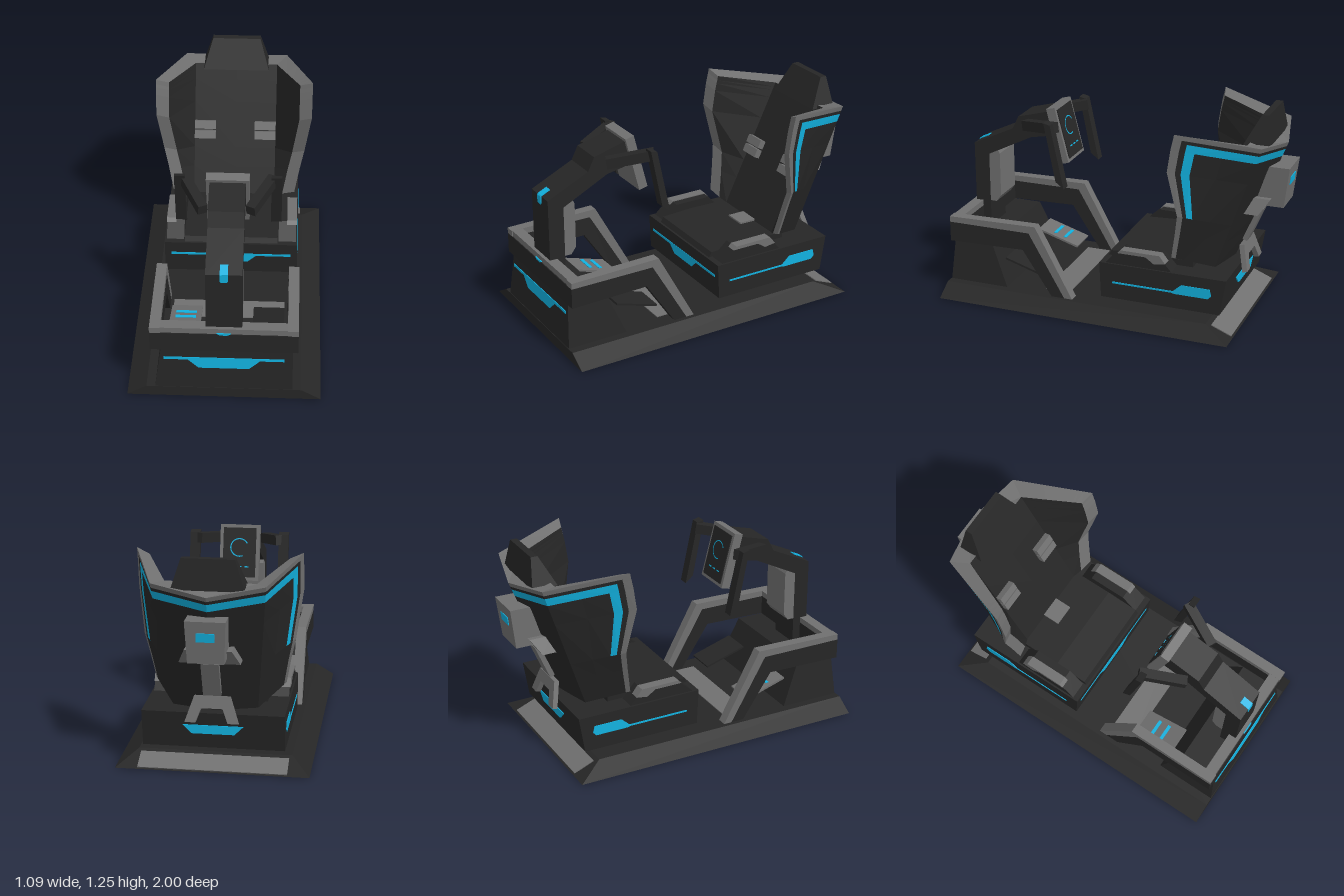
import * as THREE from 'three';

const mat = (name, color) => {
  const m = new THREE.MeshStandardMaterial({ color });
  m.name = name;
  return m;
};

export function createModel() {
  const dark = mat('charcoal', 0x262626);
  const gray = mat('trim gray', 0x707070);
  const cyan = mat('cyan glow', 0x12b2e0);
  const root = new THREE.Group();
  root.name = 'cockpitSeat';

  const add = (name, geo, m, parent = root) => {
    const mesh = new THREE.Mesh(geo, m);
    mesh.name = name;
    parent.add(mesh);
    return mesh;
  };
  const shape = pts => new THREE.Shape(pts.map(p => new THREE.Vector2(...p)));
  const extrude = (s, depth) => new THREE.ExtrudeGeometry(s, { depth, bevelEnabled: false });
  // Side profile of [z, y] points, spanning x0..x1
  const side = (pts, x0, x1) => extrude(shape(pts), x1 - x0).rotateY(-Math.PI / 2).translate(x1, 0, 0);
  // Front plate of [x, y] points with its back at z
  const plate = (pts, z, d = 0.008) => extrude(shape(pts), d).translate(0, 0, z);
  // Floor plate of [x, z] points with its underside at y
  const floor = (pts, y, d) => extrude(shape(pts.map(([x, z]) => [x, -z])), d).rotateX(-Math.PI / 2).translate(0, y, 0);
  const box = (x0, x1, y0, y1, z0, z1) =>
    new THREE.BoxGeometry(x1 - x0, y1 - y0, z1 - z0).translate((x0 + x1) / 2, (y0 + y1) / 2, (z0 + z1) / 2);
  // Box with separate bottom and top rectangles: [y, half width, back z, front z]
  const taper = (b, t) => {
    const g = new THREE.BoxGeometry(1, 1, 1), p = g.attributes.position;
    for (let i = 0; i < p.count; i++) {
      const r = p.getY(i) > 0 ? t : b;
      p.setXYZ(i, Math.sign(p.getX(i)) * r[1], r[0], p.getZ(i) > 0 ? r[3] : r[2]);
    }
    g.computeVertexNormals();
    return g;
  };
  const mirror = half => [...half, ...half.map(([x, y]) => [-x, y]).reverse()];
  const bar = (a, b, w, h) => {
    const A = new THREE.Vector3(...a), B = new THREE.Vector3(...b);
    const g = new THREE.BoxGeometry(w, h, A.distanceTo(B));
    const m = new THREE.Object3D();
    m.position.copy(A).lerp(B, 0.5);
    m.lookAt(B);
    m.updateMatrix();
    return g.applyMatrix4(m.matrix);
  };

  // Base platform, rear ramp trim and underside pads
  add('basePlate', taper([0.005, 0.545, -0.79, 1], [0.07, 0.435, -0.63, 1]), dark);
  add('rampTrim', box(-0.42, 0.42, -0.003, 0.003, -0.075, 0.055), gray).position.set(0, 0.04, -0.71);
  root.children.at(-1).rotation.x = -0.386;
  for (const s of [1, -1]) {
    const zs = d => 0.1 + s * d;
    add('undersidePad', floor(mirror([[0.18, zs(0.15)], [0.25, zs(0.32)], [0.35, zs(0.4)], [0.35, zs(0.74)], [0.3, zs(0.82)]]), 0.001, 0.006), gray);
    for (let i = 0; i < 4; i++)
      add('undersideVent', box(-0.12, 0.12, 0, 0.003, zs(0.5) - 0.08 + i * 0.045, zs(0.5) - 0.045 + i * 0.045), dark);
  }
  add('undersideBridge', floor(mirror([[0.17, 0.04], [0.2, 0.07], [0.2, 0.13], [0.17, 0.16]]), 0.001, 0.006), gray);
  add('footMat', box(-0.33, 0.33, 0.068, 0.075, 0.25, 0.4), gray);

  // Front console
  add('console', taper([0.07, 0.385, 0.63, 0.997], [0.33, 0.35, 0.74, 0.977]), dark);
  add('consoleGlow', plate(mirror([[0.14, -0.045], [0.2, 0.01], [0.335, 0.01], [0.335, 0.025], [0, 0.025]]), 0), cyan)
    .position.set(0, 0.255, 0.979);
  root.children.at(-1).rotation.x = -0.077;
  add('frontRail', box(-0.35, 0.35, 0.33, 0.45, 0.91, 0.98), dark);
  add('frontRailCap', box(-0.35, 0.35, 0.45, 0.485, 0.91, 0.975), gray);
  add('railGlow', plate([[-0.04, 0.457], [-0.02, 0.445], [0.02, 0.445], [0.04, 0.457]], 0.974), cyan);

  // Side rails with legs, and pedals
  for (const s of [1, -1]) {
    const [a, b] = s > 0 ? [0.35, 0.41] : [-0.41, -0.35];
    add('sideRail', side([[0.98, 0.33], [0.98, 0.45], [0.47, 0.45], [0.25, 0.07], [0.33, 0.07], [0.51, 0.34]], a, b), dark);
    add('sideRailCap', side([[0.98, 0.45], [0.98, 0.485], [0.43, 0.495], [0.2, 0.07], [0.25, 0.07], [0.47, 0.45]], a, b), gray);
    add('pedal', bar([s * 0.24, 0.23, 0.66], [s * 0.24, 0.15, 0.4], 0.18, 0.012), s > 0 ? dark : gray);
  }
  for (const t of [0.35, 0.6])
    add('pedalGlow', bar([-0.24, 0.238 - t * 0.08, 0.66 - t * 0.26], [-0.24, 0.237 - t * 0.08, 0.64 - t * 0.26], 0.12, 0.004), cyan);

  // Display column
  add('column', side([[0.955, 0.33], [0.955, 0.85], [0.7, 0.97], [0.66, 1.05], [0.44, 1.11], [0.42, 0.96],
    [0.58, 0.93], [0.8, 0.82], [0.86, 0.79], [0.86, 0.33]], -0.1, 0.1), dark);
  add('columnTrim', side([[0.86, 0.49], [0.86, 0.79], [0.8, 0.82], [0.79, 0.8], [0.79, 0.53], [0.82, 0.49]], -0.1, 0.1), gray);
  add('columnGlow', plate(mirror([[0.015, 0.8], [0.022, 0.81], [0.022, 0.85]]), 0.952), cyan);
  add('columnGlowTop', bar([0, 0.852, 0.956], [0, 0.878, 0.9], 0.044, 0.006), cyan);

  // Display facing the seat
  const display = new THREE.Group();
  display.name = 'display';
  display.position.set(0, 0.965, 0.4);
  display.rotation.x = 0.25;
  root.add(display);
  add('displayHousing', box(-0.12, 0.12, -0.17, 0.17, -0.025, 0.03), gray, display);
  add('displayScreen', box(-0.1, 0.1, -0.15, 0.15, -0.031, -0.024), dark, display);
  add('dialGlow', new THREE.RingGeometry(0.05, 0.057, 32, 1, 0.5, 4.6).rotateY(Math.PI).translate(0, 0.03, -0.033), cyan, display);
  for (let i = 0; i < 3; i++)
    add('readoutGlow', box(-0.06 + i * 0.045, -0.035 + i * 0.045, -0.09, -0.083, -0.034, -0.03), cyan, display);

  // Control arms and hanging grips
  for (const s of [1, -1]) {
    add('controlArm', bar([s * 0.13, 1.015, 0.6], [s * 0.25, 1.06, 0.36], 0.055, 0.06), dark);
    const x = s * 0.27;
    add('controlGrip', side([[0.41, 1.1], [0.37, 1.09], [0.29, 0.71], [0.34, 0.75], [0.38, 0.95]], x - 0.03, x + 0.03), dark);
  }

  // Seat base and cushion
  add('seatBase', taper([0.12, 0.4, -0.7, 0.02], [0.335, 0.4, -0.735, 0.03]), dark);
  add('cushion', side([[0.02, 0.33], [0, 0.365], [-0.2, 0.375], [-0.5, 0.37], [-0.5, 0.33]], -0.28, 0.28), dark);
  add('cushionPatch', box(-0.065, 0.065, 0.37, 0.382, -0.47, -0.34), gray);
  add('seatFrontGlow', plate(mirror([[0.1, 0.2], [0.15, 0.245], [0.36, 0.245], [0.36, 0.26], [0, 0.26]]), 0.021), cyan);
  add('seatRearGlow', plate(mirror([[0.12, 0.21], [0.17, 0.26], [0, 0.26]]), -0.728), cyan);
  for (const s of [1, -1]) {
    const span = (a, b) => (s > 0 ? [a, b] : [-b, -a]);
    add('armrest', side([[0, 0.33], [-0.1, 0.42], [-0.33, 0.42], [-0.41, 0.33]], ...span(0.285, 0.39)), dark);
    add('armrestPad', side([[-0.08, 0.405], [-0.1, 0.425], [-0.335, 0.425], [-0.37, 0.38], [-0.3, 0.37], [-0.25, 0.405]], ...span(0.335, 0.394)), gray);
    add('seatSideGlow', side([[-0.05, 0.215], [-0.41, 0.215], [-0.43, 0.21], [-0.63, 0.21], [-0.65, 0.23], [-0.64, 0.27],
      [-0.47, 0.27], [-0.42, 0.225], [-0.05, 0.225]].reverse(), ...span(0.398, 0.404)), cyan);
  }

  // Wraparound backrest shell lofted from half cross-sections
  const rows = [0, 0.21, 0.36, 0.71, 0.88, 0.94, 0.965, 1];
  const fx = [0.375, 0.405, 0.43, 0.467, 0.467, 0.467, 0.467, 0.467];
  const fz = [-0.4, -0.43, -0.45, -0.4, -0.42, -0.43, -0.435, -0.44];
  const us = [0, 0.1, 0.17, 0.28, 0.6, 1];
  const mix = (a, b, t) => a.map((v, i) => v + (b[i] - v) * t);
  const section = j => {
    const v = rows[j], y = 0.42 + 0.77 * v;
    const F = [fx[j], y, fz[j]], R = [0.24 + 0.07 * v, 0.34 + 0.77 * v, -0.62 - 0.27 * v];
    const lip = [fx[j] - 0.075, y - 0.03, fz[j] - 0.02];
    const pad = x => [x, 0.37 + 0.73 * v, -0.44 - 0.35 * v];
    const outer = [...us.map(u => mix(F, R, u)), [0, 0.33 + 0.73 * v, -0.67 - 0.29 * v]];
    const inner = [...us.map(u => mix(lip, pad(0.25), u)), pad(0)];
    return { outer, inner, ring: [pad(0), pad(0.25), lip, ...outer] };
  };
  const faces = new Map([[dark, []], [gray, []], [cyan, []]]);
  const quad = (m, a, b, c, d) => {
    const flip = p => [-p[0], p[1], p[2]];
    for (const p of [a, b, c, a, c, d]) faces.get(m).push(...p);
    for (const p of [a, c, b, a, d, c]) faces.get(m).push(...flip(p));
  };
  const sections = rows.map((_, j) => section(j));
  for (let j = 0; j < rows.length - 1; j++) {
    const lo = sections[j].ring, hi = sections[j + 1].ring;
    for (let i = 0; i < lo.length - 1; i++) {
      const rim = i === 2 || i === 3 || (i > 3 && j === 6);
      const glow = (i === 5 && j >= 2 && j <= 4) || (i >= 5 && j === 4);
      quad(rim ? gray : glow ? cyan : dark, lo[i], lo[i + 1], hi[i + 1], hi[i]);
    }
  }
  const bottom = sections[0], top = sections.at(-1);
  for (let k = 0; k < us.length; k++) {
    quad(gray, top.inner[k], top.outer[k], top.outer[k + 1], top.inner[k + 1]);
    quad(dark, bottom.inner[k + 1], bottom.outer[k + 1], bottom.outer[k], bottom.inner[k]);
  }
  for (const [m, list] of faces) {
    const g = new THREE.BufferGeometry();
    g.setAttribute('position', new THREE.Float32BufferAttribute(list, 3));
    g.computeVertexNormals();
    add(m === dark ? 'backrestShell' : m === gray ? 'backrestRim' : 'backrestGlow', g, m);
  }

  // Headrest and lumbar patches
  add('headrest', taper([1.08, 0.2, -0.9, -0.75], [1.25, 0.145, -0.88, -0.84]), dark);
  for (const s of [1, -1])
    for (const [y, z] of [[0.71, -0.59], [0.765, -0.615]]) {
      const patch = add('lumbarPatch', new THREE.BoxGeometry(0.13, 0.05, 0.05), gray);
      patch.position.set(s * 0.185, y, z);
      patch.rotation.x = -0.45;
    }

  // Rear pack, its skirt and the lower bracket
  add('rearPack', taper([0.7, 0.1, -0.97, -0.8], [0.94, 0.11, -1, -0.88]), gray);
  add('rearSkirt', taper([0.66, 0.17, -0.84, -0.74], [0.75, 0.13, -0.9, -0.78]), gray);
  const glow = add('rearPackGlow', box(-0.05, 0.05, -0.025, 0.025, -0.003, 0.003), cyan);
  glow.position.set(0, 0.85, -0.99);
  glow.rotation.x = -0.124;
  add('rearSpine', bar([0, 0.45, -0.735], [0, 0.66, -0.825], 0.1, 0.03), gray);
  const bracket = add('rearBracket', plate([[-0.15, -0.08], [-0.09, -0.08], [-0.06, 0], [0.06, 0], [0.09, -0.08],
    [0.15, -0.08], [0.1, 0.07], [-0.1, 0.07]], -0.015, 0.03), gray);
  bracket.position.set(0, 0.37, -0.75);
  bracket.rotation.x = 0.25;

  return root;
}
